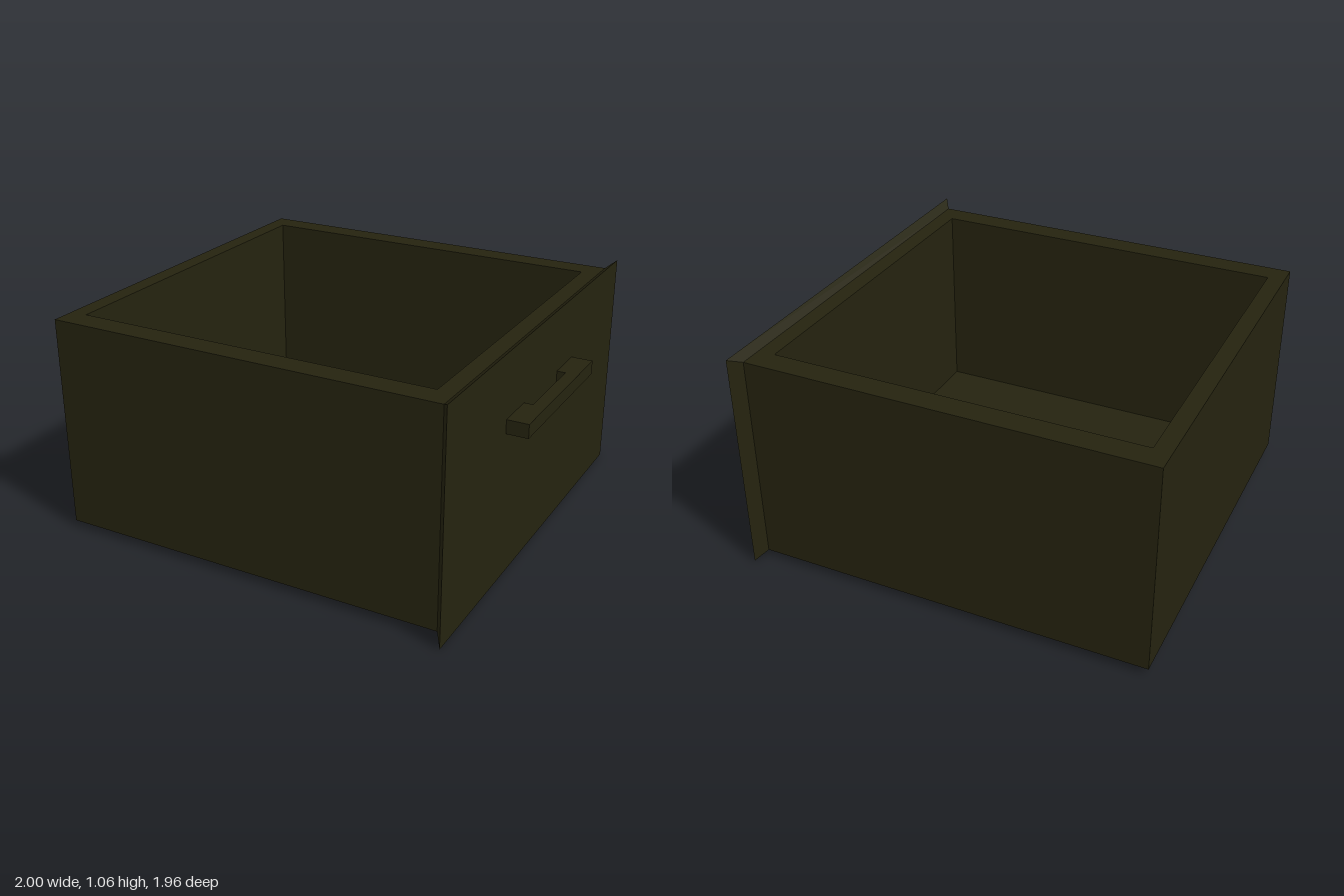
import * as THREE from 'three';

// Closed outline in plan (x, z)
function outline(points) {
  return points.map(([x, z]) => new THREE.Vector2(x, -z));
}

// Raises a plan outline from y0 to y1
function slab(points, y0, y1, hole) {
  const shape = new THREE.Shape(outline(points));
  if (hole) shape.holes.push(new THREE.Path(outline(hole)));
  const geometry = new THREE.ExtrudeGeometry(shape, { depth: y1 - y0, bevelEnabled: false });
  return geometry.rotateX(-Math.PI / 2).translate(0, y0, 0);
}

const rect = (x0, x1, z) => [[x0, z], [x1, z], [x1, -z], [x0, -z]];

export function createModel() {
  const group = new THREE.Group();
  group.name = 'drawer';
  const darkWood = new THREE.MeshStandardMaterial({ color: 0x25230f });
  darkWood.name = 'darkWood';

  const add = (name, geometry) => {
    const mesh = new THREE.Mesh(geometry, darkWood);
    mesh.name = name;
    group.add(mesh);
  };

  // Open tray: four thick walls and a floor
  const inner = rect(-0.92, 0.78, 0.81);
  add('walls', slab(rect(-1, 0.86, 0.922), 0.035, 1.03, inner));
  add('floor', slab(inner, 0.035, 0.1));

  // Face panel, flaring outwards from the tray to its outer face
  const panel = new THREE.BoxGeometry(0.04, 1, 1);
  const pos = panel.attributes.position;
  for (let i = 0; i < pos.count; i++) {
    const outer = pos.getX(i) > 0;
    const top = pos.getY(i) > 0;
    const y = outer ? (top ? 1.06 : 0) : (top ? 1.03 : 0.035);
    const z = Math.sign(pos.getZ(i)) * (outer ? 0.982 : 0.922);
    pos.setXYZ(i, outer ? 0.9 : 0.86, y, z);
  }
  const facePanel = panel.toNonIndexed();
  facePanel.computeVertexNormals();
  add('facePanel', facePanel);

  // Bracket-shaped pull handle
  add('handle', slab([
    [0.9, 0.39], [1, 0.39], [1, -0.39], [0.9, -0.39],
    [0.9, -0.197], [0.94, -0.197], [0.94, 0.197], [0.9, 0.197],
  ], 0.695, 0.76));

  return group;
}
